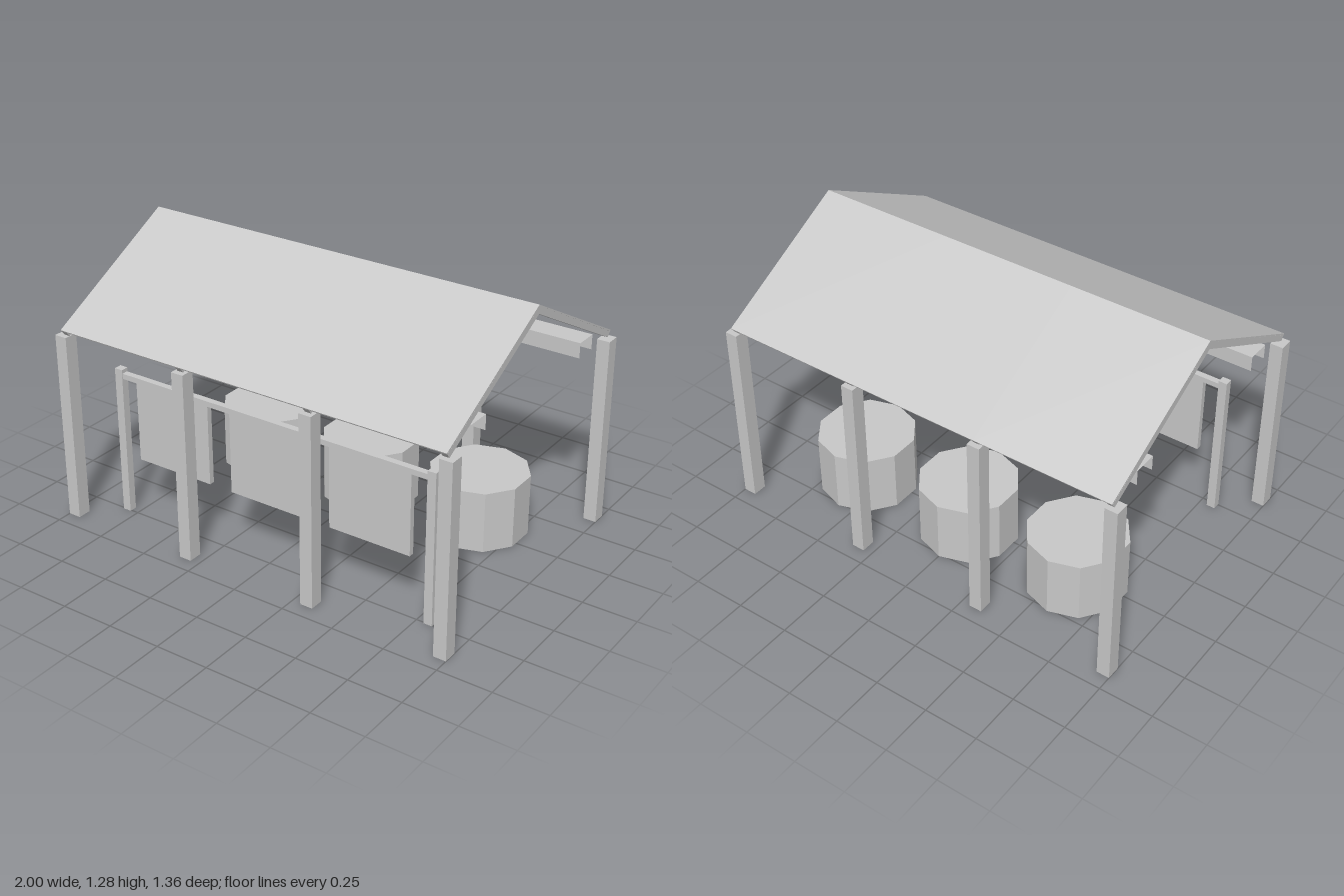
import * as THREE from 'three';

export function createModel() {
  const model = new THREE.Group();
  const grey = new THREE.MeshStandardMaterial({ color: 0xc8c8c8 });
  grey.name = 'lightGrey';
  const greySheet = grey; // one colour throughout
  greySheet.side = THREE.DoubleSide;

  const add = (name, geometry, x, y, z) => {
    const mesh = new THREE.Mesh(geometry, grey);
    mesh.name = name;
    mesh.position.set(x, y, z);
    model.add(mesh);
    return mesh;
  };
  const box = (name, w, h, d, x, y, z) => add(name, new THREE.BoxGeometry(w, h, d), x, y, z);

  // Gable-shaped strip: half outline [z, y] from ridge top to ridge underside, mirrored, run along x
  const gable = (name, half, x0, x1) => {
    const [ridge, eave, lowEave, lowRidge] = half;
    const mirror = ([z, y]) => [-z, y];
    const outline = [ridge, eave, lowEave, lowRidge, mirror(lowEave), mirror(eave)];
    const shape = new THREE.Shape(outline.map(([z, y]) => new THREE.Vector2(z, y)));
    const geometry = new THREE.ExtrudeGeometry(shape, { depth: x1 - x0, bevelEnabled: false });
    geometry.rotateY(Math.PI / 2);
    add(name, geometry, x0, 0, 0);
  };

  // Main posts and the rafter pair over each pair of posts
  const bays = [-0.97, -0.323, 0.323, 0.97];
  for (const x of bays) {
    for (const z of [-0.647, 0.647]) box('post', 0.06, 0.892, 0.066, x, 0.446, z);
    const centre = Math.sign(x) * Math.min(Math.abs(x), 0.955);
    gable('rafter', [[0, 1.274], [0.672, 0.915], [0.655, 0.893], [0, 1.24]], centre - 0.015, centre + 0.015);
  }

  // Thin roof sheets, one per bay
  for (let i = 0; i < 3; i++) {
    gable('roofSheet', [[0, 1.28], [0.676, 0.921], [0.673, 0.915], [0, 1.274]], bays[i], bays[i + 1]);
  }

  // Thin channel beams running lengthwise under each slope
  for (const side of [-1, 1]) {
    for (const z of [0.39, 0.5]) {
      const web = add('beamSide', new THREE.PlaneGeometry(1.94, 0.07), 0, 0.93, side * z);
      if (side < 0) web.rotation.y = Math.PI;
    }
    add('beamTop', new THREE.PlaneGeometry(1.94, 0.11).rotateX(-Math.PI / 2), 0, 0.965, side * 0.445);
  }

  // Hanging frame at the front with three panels
  for (const x of [-0.807, 0.807]) box('framePost', 0.04, 0.712, 0.037, x, 0.356, 0.488);
  box('frameRail', 1.6, 0.025, 0.03, 0, 0.682, 0.488);
  for (const x of [-0.513, 0, 0.513]) box('hangingPanel', 0.395, 0.38, 0.026, x, 0.48, 0.488);

  // Ten-sided round tables along the back
  for (const x of [-0.578, 0, 0.578]) {
    const drum = new THREE.CylinderGeometry(0.2275, 0.2275, 0.29, 10).toNonIndexed();
    drum.computeVertexNormals();
    add('roundTable', drum, x, 0.145, -0.2875);
  }

  return model;
}
